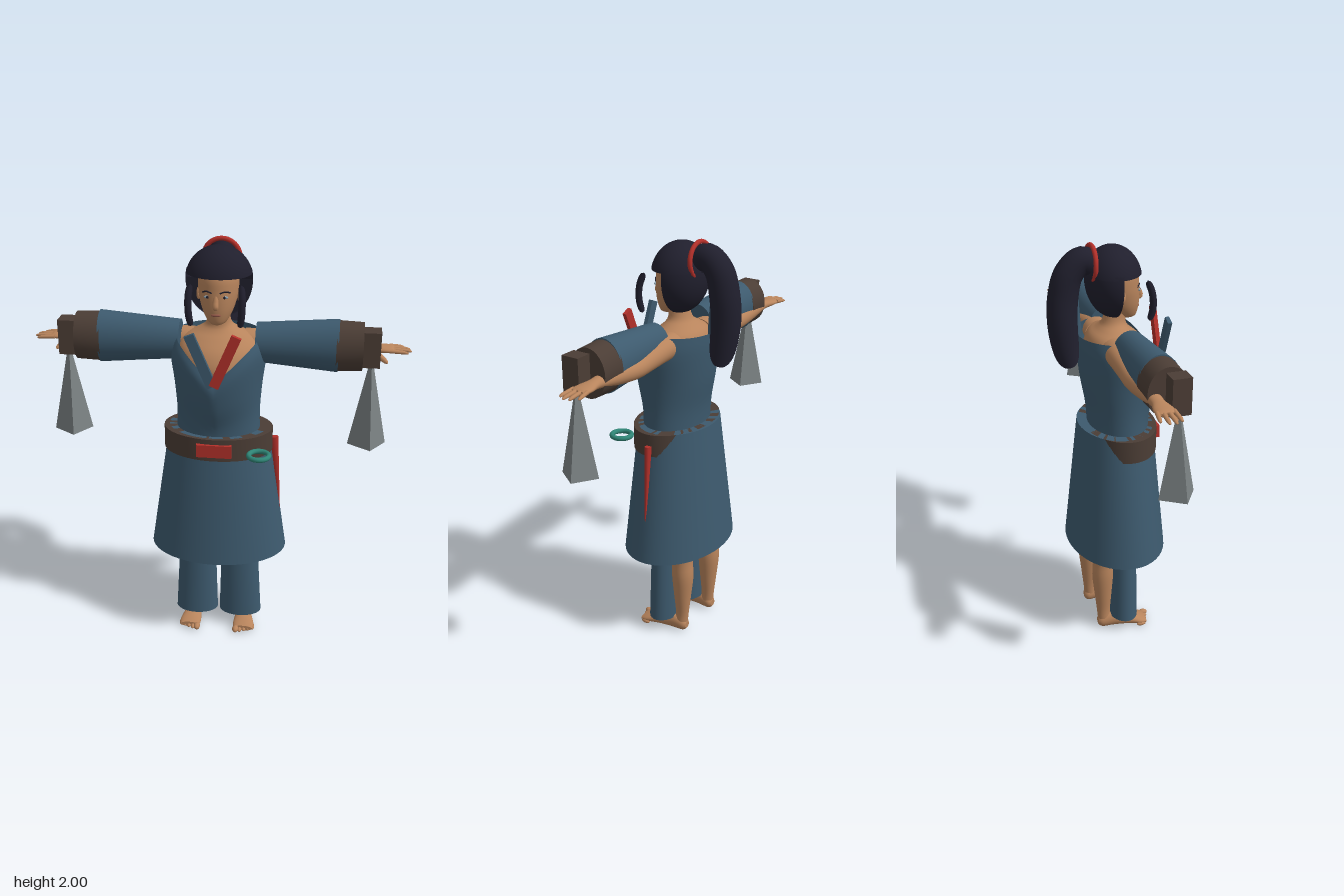
import * as THREE from 'three';

const mat = (name, color, double) => {
  const m = new THREE.MeshStandardMaterial({ color });
  m.name = name;
  if (double) m.side = THREE.DoubleSide;
  return m;
};

// Catmull-Rom smoothing of a list of rings
function smooth(rings, n = 4) {
  const out = [], last = rings.length - 1;
  const at = i => rings[Math.max(0, Math.min(last, i))];
  for (let i = 0; i < last; i++) {
    for (let k = 0; k < n; k++) {
      const t = k / n;
      out.push(at(i).map((b, c) => {
        const a = at(i - 1)[c], d = at(i + 1)[c], e = at(i + 2)[c];
        return b + 0.5 * t * (d - a + t * (2 * a - 5 * b + 4 * d - e + t * (3 * (b - d) + e - a)));
      }));
    }
  }
  out.push(rings[last]);
  return out;
}

// Elliptical rings [t, u, v, ru, rv] along an axis.
// axis y: u = x, v = z;  axis x: u = z, v = y;  axis z: u = y, v = x
function loft(rings, axis = 'y', caps = true, seg = 32) {
  const pos = [], idx = [];
  const put = (t, u, v) => pos.push(...(axis === 'y' ? [u, t, v] : axis === 'x' ? [t, v, u] : [v, u, t]));
  const ring = ([t, u, v, ru, rv]) => {
    for (let i = 0; i < seg; i++) {
      const a = i / seg * Math.PI * 2;
      put(t, u + ru * Math.sin(a), v + rv * Math.cos(a));
    }
  };
  rings.forEach(ring);
  for (let j = 0; j < rings.length - 1; j++) {
    for (let i = 0; i < seg; i++) {
      const a = j * seg + i, b = j * seg + (i + 1) % seg;
      idx.push(a, b, a + seg, b, b + seg, a + seg);
    }
  }
  if (caps) [rings[0], rings[rings.length - 1]].forEach((r, end) => {
    const s = pos.length / 3;
    ring(r);
    put(r[0], r[1], r[2]);
    for (let i = 0; i < seg; i++) {
      const a = s + i, b = s + (i + 1) % seg;
      idx.push(s + seg, ...(end ? [a, b] : [b, a]));
    }
  });
  const g = new THREE.BufferGeometry();
  g.setAttribute('position', new THREE.Float32BufferAttribute(pos, 3));
  g.setIndex(idx);
  g.computeVertexNormals();
  return g;
}

// Tube through points whose radius follows a rule
function taperTube(points, radius, n = 32, seg = 16) {
  const curve = new THREE.CatmullRomCurve3(points.map(p => new THREE.Vector3(...p)));
  const g = new THREE.TubeGeometry(curve, n, 1, seg), p = g.attributes.position, v = new THREE.Vector3();
  for (let i = 0; i < p.count; i++) {
    const t = Math.floor(i / (seg + 1)) / n, c = curve.getPointAt(t);
    v.fromBufferAttribute(p, i).sub(c).multiplyScalar(radius(t)).add(c);
    p.setXYZ(i, v.x, v.y, v.z);
  }
  return g;
}

function mirrored(geo) {
  const g = geo.clone().scale(-1, 1, 1), ix = g.index;
  for (let i = 0; i < ix.count; i += 3) {
    const a = ix.getX(i);
    ix.setX(i, ix.getX(i + 1));
    ix.setX(i + 1, a);
  }
  return g;
}

const ball = (x, y, z, rx, ry, rz) => new THREE.SphereGeometry(1, 16, 12).scale(rx, ry, rz).translate(x, y, z);

export function createModel() {
  const root = new THREE.Group();
  root.name = 'robedFigure';
  const skin = mat('skin', 0xb8845c), blue = mat('blueCloth', 0x3d5a6e, true), hair = mat('darkHair', 0x201f2d, true);
  const brown = mat('brownLeather', 0x4b3d35), red = mat('redLacquer', 0xb3302a), teal = mat('tealJade', 0x2f8576);
  const grey = mat('greyMetal', 0x7b8283), pale = mat('paleEye', 0x8fa3b0), lip = mat('lips', 0x96594a);
  const add = (name, geo, m) => {
    const mesh = new THREE.Mesh(geo, m);
    mesh.name = name;
    root.add(mesh);
    return mesh;
  };
  const pair = (name, geo, m) => {
    add(name + 'Left', geo, m);
    add(name + 'Right', mirrored(geo), m);
  };

  // Chest, shoulders and neck
  add('chest', loft(smooth([[1.25, 0, 0.04, 0.16, 0.12], [1.38, 0, 0.04, 0.185, 0.15], [1.45, 0, 0.04, 0.19, 0.165],
    [1.52, 0, 0.03, 0.19, 0.145], [1.57, 0, 0.015, 0.155, 0.11], [1.6, 0, 0.015, 0.1, 0.075],
    [1.63, 0, 0.02, 0.06, 0.055], [1.69, 0, 0.03, 0.05, 0.05], [1.76, 0, 0.035, 0.05, 0.05]])), skin);

  // Wrapped top with a V neckline at the front
  const top = loft(smooth([[1.05, 0, 0.04, 0.2, 0.14], [1.2, 0, 0.038, 0.196, 0.147], [1.35, 0, 0.04, 0.206, 0.176],
    [1.5, 0, 0.04, 0.223, 0.193], [1.58, 0, 0.033, 0.205, 0.188]]), 'y', false, 64);
  const tp = top.attributes.position;
  for (let i = 0; i < tp.count; i++) {
    const neck = tp.getZ(i) > 0.03 ? 1.4 + 0.18 * Math.min(1, Math.abs(tp.getX(i)) / 0.19) : 1.58;
    tp.setY(i, 1.05 + (tp.getY(i) - 1.05) * (neck - 1.05) / 0.53);
  }
  top.computeVertexNormals();
  add('top', top, blue);

  // Crossed collar strips
  [[1, red], [-1, blue]].forEach(([s, m]) => {
    const strip = add(s > 0 ? 'collarRed' : 'collarBlue', new THREE.BoxGeometry(0.046, 0.26, 0.02), m);
    strip.position.set(s * 0.055, 1.52, 0.25);
    strip.rotation.z = -s * 0.4;
  });

  // Skirt, belt and trousers
  add('skirt', loft([[0.47, 0, 0.025, 0.335, 0.24], [1.12, 0, 0.025, 0.237, 0.177]], 'y', true, 48), blue);
  add('belt', loft([[1.01, 0, 0.04, 0.26, 0.178], [1.12, 0, 0.04, 0.26, 0.178]], 'y', true, 48), brown);
  add('beltPlate', new THREE.BoxGeometry(0.165, 0.062, 0.025).translate(0, 1.065, 0.217), red);
  add('beltRing', new THREE.TorusGeometry(0.047, 0.012, 12, 32).rotateX(Math.PI / 2).translate(0.21, 1.055, 0.22), teal);
  const dagger = add('sheath', new THREE.CylinderGeometry(0.02, 0.004, 0.4, 8).scale(1, 1, 0.75), red);
  dagger.position.set(0.283, 0.865, 0.022);
  dagger.rotation.z = 0.085;
  pair('trouserLeg', loft([[0.07, 0.112, 0.033, 0.107, 0.074], [0.55, 0.105, 0.033, 0.087, 0.066]]), blue);

  // Bare legs and feet
  pair('leg', loft(smooth([[0.03, 0.122, -0.065, 0.03, 0.033], [0.1, 0.12, -0.07, 0.03, 0.034], [0.2, 0.12, -0.072, 0.042, 0.043],
    [0.32, 0.12, -0.073, 0.054, 0.054], [0.42, 0.12, -0.07, 0.054, 0.052], [0.55, 0.12, -0.06, 0.07, 0.07]])), skin);
  pair('foot', loft(smooth([[-0.1, 0.035, 0.122, 0.018, 0.018], [-0.08, 0.038, 0.122, 0.037, 0.031], [-0.02, 0.046, 0.127, 0.045, 0.034],
    [0.05, 0.035, 0.132, 0.034, 0.042], [0.11, 0.024, 0.137, 0.023, 0.053], [0.145, 0.018, 0.138, 0.014, 0.048]]), 'z'), skin);
  for (let i = 0; i < 5; i++) {
    const r = i ? 0.011 : 0.016;
    pair('toe' + (i + 1), ball(0.1 + i * 0.021, r, 0.152 - i * 0.009, r, r, 0.024), skin);
  }

  // Arms, hands and fingers
  pair('arm', loft(smooth([[0.12, -0.01, 1.53, 0.07, 0.06], [0.2, -0.015, 1.53, 0.06, 0.058], [0.32, -0.02, 1.515, 0.05, 0.052],
    [0.42, -0.022, 1.505, 0.047, 0.047], [0.54, -0.02, 1.512, 0.042, 0.042], [0.66, -0.02, 1.52, 0.032, 0.027],
    [0.7, -0.02, 1.52, 0.031, 0.022], [0.745, -0.02, 1.52, 0.042, 0.018], [0.785, -0.02, 1.52, 0.044, 0.014],
    [0.802, -0.02, 1.52, 0.038, 0.008]]), 'x'), skin);
  [[-0.056, 0.85], [-0.032, 0.876], [-0.008, 0.882], [0.016, 0.866]].forEach(([z, tip], i) => {
    pair('finger' + (i + 1), loft([[0.78, z, 1.521, 0.011, 0.01], [tip - 0.02, z * 1.15, 1.517, 0.009, 0.008],
      [tip - 0.004, z * 1.18, 1.514, 0.006, 0.005], [tip, z * 1.18, 1.513, 0.001, 0.001]], 'x', true, 12), skin);
  });
  pair('thumb', taperTube([[0.71, 1.51, 0.0], [0.745, 1.49, 0.025], [0.775, 1.467, 0.036]],
    t => 0.014 * Math.sqrt(Math.max(0, 1 - t ** 4)), 12, 10), skin);

  // Sleeves, cuffs, wrist blocks and hanging weights
  pair('sleeve', loft([[0.175, 0.04, 1.547, 0.08, 0.092], [0.55, 0.04, 1.545, 0.096, 0.124]], 'x'), blue);
  pair('cuff', loft([[0.54, 0.04, 1.545, 0.097, 0.118], [0.66, 0.04, 1.545, 0.094, 0.113]], 'x'), brown);
  pair('wristBlock', new THREE.BoxGeometry(0.078, 0.165, 0.085).translate(0.698, 1.552, 0.068), brown);
  const grayFlat = new THREE.CylinderGeometry(0.01, 0.09, 0.395, 4).rotateY(0.2).toNonIndexed();
  grayFlat.computeVertexNormals();
  [0.7, -0.7].forEach(x => {
    add(x > 0 ? 'weightLeft' : 'weightRight', grayFlat, grey).position.set(x, 1.277, 0.07);
  });

  // Head and face
  add('head', loft(smooth([[1.642, 0, 0.088, 0.02, 0.022], [1.655, 0, 0.08, 0.042, 0.046], [1.7, 0, 0.06, 0.068, 0.077],
    [1.75, 0, 0.045, 0.084, 0.095], [1.8, 0, 0.035, 0.092, 0.103], [1.86, 0, 0.03, 0.09, 0.102],
    [1.92, 0, 0.02, 0.06, 0.08]])), skin);
  add('nose', taperTube([[0, 1.79, 0.128], [0, 1.76, 0.14], [0, 1.735, 0.147], [0, 1.725, 0.13]],
    t => 0.006 + 0.008 * Math.sin(t * Math.PI * 0.9), 12, 10), skin);
  add('mouth', ball(0, 1.696, 0.134, 0.023, 0.007, 0.007), lip);
  pair('eye', ball(0.038, 1.778, 0.127, 0.017, 0.007, 0.006), pale);
  pair('iris', ball(0.038, 1.778, 0.132, 0.006, 0.006, 0.003), hair);
  pair('brow', taperTube([[0.017, 1.797, 0.136], [0.042, 1.804, 0.128], [0.062, 1.796, 0.113]], () => 0.0035, 8, 6), hair);
  pair('ear', ball(0.092, 1.765, 0.03, 0.01, 0.03, 0.018), skin);

  // Hair cap: full crown over a back half
  add('hairCrown', new THREE.SphereGeometry(1, 40, 20, 0, Math.PI * 2, 0, 1.37).scale(0.153, 0.153, 0.132).translate(0, 1.83, 0.014), hair);
  add('fringeUnderside', new THREE.CircleGeometry(1, 40).rotateX(Math.PI / 2).scale(0.15, 1, 0.129).translate(0, 1.861, 0.014), hair);
  add('hairBack', new THREE.SphereGeometry(1, 32, 20, Math.PI, Math.PI, 1.3, Math.PI - 1.3).scale(0.153, 0.18, 0.132).translate(0, 1.83, 0.02), hair);
  add('hairBackInside', new THREE.CircleGeometry(1, 40, Math.PI, Math.PI).scale(0.152, 0.18, 1).translate(0, 1.835, 0.02), hair);
  pair('frontLock', taperTube([[0.113, 1.84, 0.142], [0.12, 1.78, 0.163], [0.118, 1.71, 0.168], [0.11, 1.65, 0.155]],
    t => 0.016 * Math.sqrt(Math.max(0, 1 - (2 * t - 1) ** 8)), 24, 10), hair);

  // Ponytail with its band and inner ribbon
  add('ponytail', taperTube([[0, 1.9, -0.07], [0, 1.925, -0.13], [0, 1.87, -0.19], [0, 1.77, -0.218], [-0.005, 1.65, -0.225],
    [-0.005, 1.53, -0.213], [-0.005, 1.42, -0.19]],
  t => (0.058 + 0.012 * Math.sin(t * Math.PI)) * Math.pow(Math.max(0, 1 - t ** 14), 0.5), 48, 20), hair);
  add('ribbon', taperTube([[0, 1.8, -0.158], [0, 1.7, -0.163], [0, 1.58, -0.156], [0, 1.47, -0.15]],
    t => 0.022 * Math.sqrt(Math.max(0, Math.sin(t * Math.PI))), 24, 10), blue);
  add('hairBand', new THREE.TorusGeometry(0.083, 0.011, 12, 40).rotateX(0.05).translate(0, 1.906, -0.088), red);

  return root;
}
